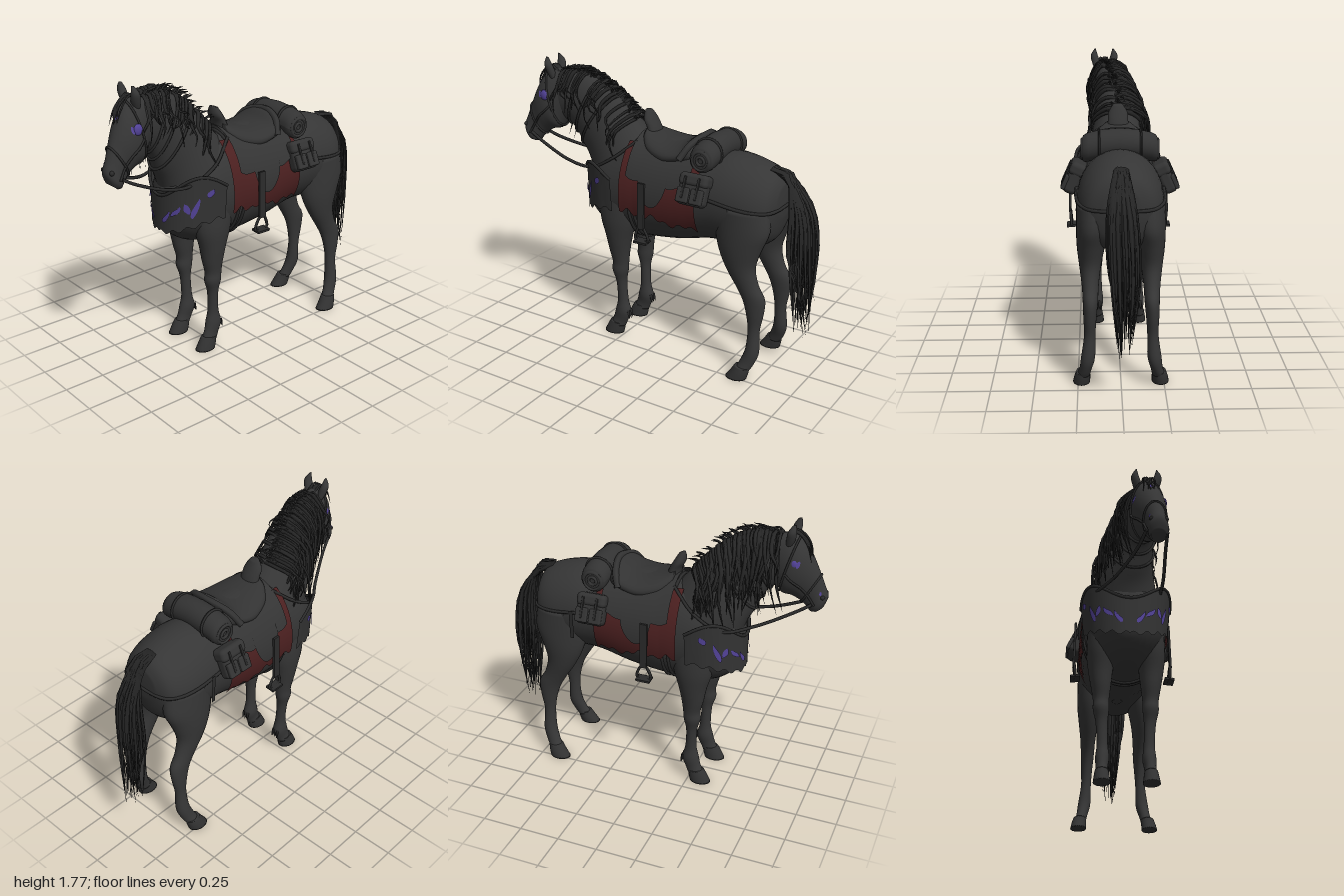
import * as THREE from 'three';
import { mergeGeometries } from 'three/addons/utils/BufferGeometryUtils.js';
import { RoundedBoxGeometry } from 'three/addons/geometries/RoundedBoxGeometry.js';

const V = (x, y, z) => new THREE.Vector3(x, y, z);
const mat = (name, color, side = THREE.FrontSide) => Object.assign(new THREE.MeshStandardMaterial({ color, side }), { name });

// Sections: [front/top z, y, back/bottom z, y, centre x, half width]
const TORSO = [[-.79, 1.2, -.79, 1.02, 0, .09], [-.75, 1.27, -.75, .87, 0, .185], [-.65, 1.315, -.65, .8, 0, .235],
  [-.5, 1.345, -.5, .79, 0, .248], [-.35, 1.335, -.35, .785, 0, .245], [-.15, 1.33, -.15, .735, 0, .25],
  [.05, 1.34, .05, .705, 0, .25], [.2, 1.36, .2, .695, 0, .24], [.35, 1.3, .35, .71, 0, .228],
  [.45, 1.23, .45, .755, 0, .19], [.52, 1.15, .52, .83, 0, .125], [.545, 1.08, .545, .92, 0, .05]];
const NECK = [[.1, 1.3, .5, .95, 0, .2], [.24, 1.45, .55, 1.12, 0, .16], [.36, 1.57, .6, 1.22, .02, .125],
  [.47, 1.65, .635, 1.3, .04, .105], [.58, 1.695, .68, 1.36, .06, .09], [.72, 1.69, .74, 1.38, .075, .08]];
const HEAD = [[.68, 1.69, .65, 1.45, .07, .06], [.79, 1.7, .71, 1.36, .08, .088], [.86, 1.64, .74, 1.32, .09, .098],
  [.905, 1.56, .79, 1.31, .1, .088], [.945, 1.47, .84, 1.28, .11, .066], [.975, 1.39, .875, 1.245, .12, .057],
  [1, 1.32, .9, 1.215, .125, .058], [.98, 1.255, .925, 1.215, .125, .042]];
const FORELEG = [[.42, .98, .12, .98, .14, .09], [.4, .82, .15, .82, .15, .085], [.365, .7, .185, .7, .15, .072],
  [.345, .6, .205, .6, .147, .058], [.325, .52, .215, .52, .145, .047], [.328, .46, .22, .46, .145, .047],
  [.305, .38, .235, .38, .14, .035], [.3, .25, .23, .25, .135, .032], [.315, .18, .21, .16, .135, .04],
  [.33, .12, .235, .09, .138, .034], [.35, .07, .25, .055, .14, .038]];
const HINDLEG = [[-.42, 1.08, -.76, 1.08, .15, .1], [-.43, .92, -.775, .95, .16, .093], [-.46, .8, -.735, .84, .17, .08],
  [-.515, .69, -.7, .72, .175, .062], [-.58, .59, -.725, .61, .175, .048], [-.625, .51, -.77, .53, .175, .043],
  [-.655, .42, -.765, .43, .178, .037], [-.67, .32, -.745, .32, .18, .032], [-.665, .2, -.75, .18, .19, .04],
  [-.64, .12, -.725, .1, .205, .035], [-.615, .07, -.7, .055, .217, .038]];
const FOREHOOF = [[.355, .085, .25, .075, .14, .038], [.375, .05, .255, .04, .14, .044], [.4, 0, .265, 0, .14, .05]];
const HINDHOOF = [[-.61, .085, -.705, .075, .22, .04], [-.59, .05, -.7, .04, .225, .046], [-.555, 0, -.69, 0, .23, .05]];
const SEAT = [[-.27, 1.39, -.27, 1.24, 0, .14], [-.23, 1.42, -.23, 1.24, 0, .18], [-.16, 1.375, -.16, 1.24, 0, .2],
  [-.06, 1.365, -.06, 1.22, 0, .2], [.06, 1.39, .06, 1.24, 0, .16], [.12, 1.42, .12, 1.28, 0, .1]];
const POMMEL = [[.16, 1.51, .12, 1.5, 0, .03], [.165, 1.46, .09, 1.45, 0, .06], [.14, 1.4, .06, 1.39, 0, .065], [.14, 1.3, .04, 1.3, 0, .1]];

// Smooth section at fractional index u
function section(rows, u) {
  const i = Math.min(Math.floor(u), rows.length - 2), t = u - i, r = k => rows[Math.max(0, Math.min(rows.length - 1, k))];
  return rows[0].map((_, k) => {
    const [a, b, c, d] = [r(i - 1)[k], r(i)[k], r(i + 1)[k], r(i + 2)[k]];
    return b + .5 * t * (c - a + t * (2 * a - 5 * b + 4 * c - d + t * (3 * (b - c) + d - a)));
  });
}
// Point on a section's outline, angle a from the top, pushed out by off
function outline([fz, fy, bz, by, x, w], a, off = 0) {
  const h = Math.hypot(fz - bz, fy - by) / 2, k = Math.cos(a) * (h + off) / h / 2;
  return V(x + Math.sin(a) * (w + off), (fy + by) / 2 + (fy - by) * k, (fz + bz) / 2 + (fz - bz) * k);
}
function loft(rows, mirror = 1, sub = 4, seg = 24) {
  const pos = [], idx = [], n = (rows.length - 1) * sub;
  for (let i = 0; i <= n; i++) for (let j = 0; j < seg; j++)
    pos.push(...outline(section(rows, i / sub), j / seg * 2 * Math.PI).toArray());
  for (const r of [rows[0], rows.at(-1)]) pos.push(r[4], (r[1] + r[3]) / 2, (r[0] + r[2]) / 2);
  const tri = (a, b, c) => mirror > 0 ? idx.push(a, b, c) : idx.push(a, c, b);
  for (let j = 0; j < seg; j++) {
    const k = (j + 1) % seg, e = n * seg;
    for (let i = 0; i < e; i += seg) { tri(i + j, i + seg + j, i + k); tri(i + k, i + seg + j, i + seg + k); }
    tri(e + seg, j, k); tri(e + seg + 1, e + k, e + j);
  }
  for (let i = 0; i < pos.length; i += 3) pos[i] *= mirror;
  return build(pos, idx);
}
function build(pos, idx) {
  const g = new THREE.BufferGeometry();
  g.setAttribute('position', new THREE.Float32BufferAttribute(pos, 3)); g.setIndex(idx); g.computeVertexNormals();
  return g;
}
// Open sheet from fn(u, v)
function sheet(nu, nv, fn) {
  const pos = [], idx = [];
  for (let i = 0; i <= nu; i++) for (let j = 0; j <= nv; j++) {
    pos.push(...fn(i / nu, j / nv).toArray());
    if (i && j) { const d = i * (nv + 1) + j, c = d - 1, b = d - nv - 1, a = b - 1; idx.push(a, c, b, b, c, d); }
  }
  return build(pos, idx);
}
const tube = (pts, r, closed = false, n = 32) => new THREE.TubeGeometry(new THREE.CatmullRomCurve3(pts, closed), n, r, 6, closed);
const ring = (rows, u, off, r) => tube(Array.from({ length: 20 }, (_, j) => outline(section(rows, u), j * Math.PI / 10, off)), r, true, 48);
// Tapered lock of hair
function strand(pts, r) {
  const n = 10, curve = new THREE.CatmullRomCurve3(pts), g = new THREE.TubeGeometry(curve, n, r, 4), p = g.attributes.position;
  for (let i = 0; i < p.count; i++) {
    const t = Math.floor(i / 5) / n, q = V().fromBufferAttribute(p, i).lerp(curve.getPointAt(t), .98 * t ** 2.5);
    p.setXYZ(i, q.x, q.y, q.z);
  }
  g.computeVertexNormals();
  return g;
}
// Point on the barrel at a given z
function barrel(z, a, off) {
  let i = 0;
  while (i < TORSO.length - 2 && TORSO[i + 1][0] < z) i++;
  return outline(section(TORSO, i + (z - TORSO[i][0]) / (TORSO[i + 1][0] - TORSO[i][0])), a, off);
}
const chest = (th, v, off = 0) => {
  const s = Math.sin(th), top = 1.05 + .135 * Math.sin(1.5 * th) ** 2, low = .82 + .09 * s * s + .012 * Math.sin(Math.abs(th) * 19);
  return V((.25 + off + .02 * v) * s, low + (top - low) * v, .265 + (.295 + off) * Math.cos(th));
};

export function createModel() {
  const M = {
    coat: mat('coat', 0x363636), hair: mat('hair', 0x262626), hoof: mat('hoof', 0x323232),
    leather: mat('leather', 0x333333), plate: mat('leather sheet', 0x343434, THREE.DoubleSide),
    strap: mat('strap', 0x2b2b2b), cloth: mat('red cloth', 0x4c2020, THREE.DoubleSide),
    glow: mat('violet', 0x54449a, THREE.DoubleSide),
  };
  const horse = new THREE.Group();
  horse.name = 'saddledHorse';
  const add = (name, geo, m) => {
    const mesh = new THREE.Mesh(geo, m);
    mesh.name = name; horse.add(mesh);
    return mesh;
  };
  let seed = 7;
  const rnd = (a = -1, b = 1) => a + (b - a) * ((seed = seed * 16807 % 2147483647) / 2147483647);

  // Body
  add('torso', loft(TORSO, 1, 4, 36), M.coat);
  add('neck', loft(NECK, 1, 5, 32), M.coat);
  add('head', loft(HEAD, 1, 5, 28), M.coat);
  add('groin', new THREE.SphereGeometry(.05, 14, 10).scale(.8, .7, 1.3).translate(0, .81, -.37), M.coat);
  for (const s of [1, -1]) {
    add('foreleg', loft(FORELEG, s), M.coat);
    add('hindLeg', loft(HINDLEG, s), M.coat);
    add('frontHoof', loft(FOREHOOF, s), M.hoof);
    add('hindHoof', loft(HINDHOOF, s), M.hoof);
    const ex = .078 + s * .055;
    add('ear', loft([[.81, 1.775, .79, 1.77, ex + s * .005, .004], [.815, 1.735, .765, 1.73, ex + s * .012, .023],
      [.81, 1.69, .755, 1.68, ex, .027], [.79, 1.64, .75, 1.64, ex - s * .01, .02]], 1, 4, 12), M.coat);
    const eye = add('eye', new THREE.SphereGeometry(1, 16, 10), M.glow);
    eye.scale.set(.014, .034, .028); eye.position.set(.094 + s * .086, 1.54, .805);
    const nostril = add('nostril', new THREE.SphereGeometry(.014, 10, 8), M.strap);
    nostril.position.set(.125 + s * .042, 1.325, .975);
    // Fetlock tufts
    add('fetlockHair', mergeGeometries([-1, 0, 1].map(k => strand([V(s * .135 + k * .015, .18, .22), V(s * .135 + k * .02, .12, .205)], .012))), M.hair);
  }

  // Mane and tail
  const mane = [], tail = [];
  for (let i = 0; i < 130; i++) {
    const u = rnd(.9, 5), row = section(NECK, u), s = i % 5 ? -1 : 1, len = s < 0 ? rnd(.14, .4) : rnd(.03, .18);
    const puff = s < 0 ? rnd(.015, .07) : .02, side = outline(row, s * rnd(.9, 1.3), puff);
    const end = side.clone().add(V(s * rnd(-.05, .02), -len, rnd(-.09, .05)));
    const mid = side.clone().lerp(end, .5).add(V(s * .02, 0, rnd(-.03, .03)));
    mane.push(strand([outline(row, 0, -.01), outline(row, s * .35, .01 + puff / 3), side, mid, end], rnd(.008, .015)));
    if (i < 36) {
      const p = outline(row, rnd(-.2, .2), -.01);
      mane.push(strand([p, p.clone().add(V(rnd() * .02, .03, -.02)), p.clone().add(V(rnd() * .03, rnd(.02, .045), -.07))], .008));
    }
  }
  for (let i = 0; i < 9; i++) {
    const x = .078 + rnd() * .04;
    mane.push(strand([V(x, 1.68, .74), V(x, 1.715, .8), V(x + rnd() * .02, 1.65, .87), V(x + rnd() * .03, rnd(1.5, 1.6), .905)], .008));
  }
  for (let i = 0; i < 64; i++) {
    const x = rnd(), d = rnd();
    tail.push(strand([V(x * .025, 1.29, -.71), V(x * .04, 1.245 + d * .02, -.82), V(x * .075, 1.08, -.9 + d * .04),
      V(x * .085 - .01, .75, -.92 + d * .06), V(x * .045 - .01, rnd(.26, .66), -.93 + rnd() * .06)], rnd(.01, .018)));
  }
  add('mane', mergeGeometries(mane), M.hair);
  add('tail', mergeGeometries(tail), M.hair);

  // Bridle, reins and neck bands
  const tack = [ring(HEAD, 4.2, .003, .007), ring(HEAD, 1.4, .004, .007), ring(NECK, 2.1, .005, .008), ring(NECK, 3, .005, .008), ring(NECK, 3.9, .005, .008)];
  for (const s of [1, -1]) {
    tack.push(tube([1.4, 2.3, 3.3, 4.2, 5.6].map(u => outline(section(HEAD, u), s * 1.75, .004)), .007));
    tack.push(tube([V(.12 + s * .06, 1.28, .92), V(.1 + s * .08, 1.225, .82), V(.05 + s * .14, 1.15, .62),
      V(s * .19, 1.135, .46), V(s * .2, 1.22, .29), V(s * .13, 1.345, .14)], .01));
  }
  add('bridleAndReins', mergeGeometries(tack), M.strap);

  // Breast collar with a folded rim and violet flames
  add('breastCollar', sheet(72, 8, (u, v) => chest((u - .5) * 3.2, v)), M.plate);
  add('collarRim', tube(Array.from({ length: 25 }, (_, i) => chest((i / 24 - .5) * 3.2, 1)), .01, false, 60), M.strap);
  for (const s of [1, -1]) for (const [th, v, w, h, lean] of [[.26, .42, .12, .26, .17], [.5, .47, .14, .2, .2], [.74, .43, .1, .26, -.1], [.93, .4, .11, .36, .16], [1.24, .68, .11, .2, .1]])
    add('flameMark', sheet(4, 6, (a, b) => chest(s * (th + (a - .5) * w * Math.sin(.3 + b * 2.84) * 1.3 + lean * (b - .5)), v + h * (b - .5), .007)), M.glow);
  for (const [u, a, w] of [[2.5, 0, .3], [2.2, 1.1, .3], [2.2, -1.1, .3], [5.2, -.9, .25]])
    add('faceMark', sheet(3, 3, (p, q) => outline(section(HEAD, u + (q - .5) * .3), a + (p - .5) * w * Math.sin(.3 + q * 2.5), .004)), M.glow);

  // Torn saddle cloth
  const torn = z => 1.88 + .9 * Math.max(0, -z) + .04 * Math.sin(z * 31) + .045 * Math.sin(z * 73 + 1);
  for (const s of [1, -1]) add('saddleCloth', sheet(60, 16, (u, v) => {
    const z = .2 - .53 * u;
    return barrel(z, s * (.5 + (torn(z) - .5) * v), .016 + .012 * v * Math.max(0, 1 - u * 5));
  }), M.cloth);

  // Saddle
  add('saddleSkirt', sheet(28, 40, (u, v) => {
    const edge = 1.2 + .06 * Math.sin(u * Math.PI) + .02 * Math.sin(u * 19);
    return barrel(.145 - .43 * u, edge * (2 * v - 1), .036);
  }), M.plate);
  add('saddleSeat', loft(SEAT, 1, 5, 28), M.leather);
  add('pommel', loft(POMMEL, 1, 4, 16), M.leather);
  add('cantle', tube([V(-.2, 1.3, -.19), V(-.14, 1.38, -.23), V(0, 1.415, -.26), V(.14, 1.38, -.23), V(.2, 1.3, -.19)], .022), M.leather);
  for (const s of [1, -1]) {
    add('saddleFlap', sheet(20, 12, (u, v) => barrel(.05 - .2 * u, s * (.9 + v * (.3 + .44 * Math.sin(u * Math.PI) ** .6)), .042)), M.plate);
    const strap = add('stirrupStrap', new THREE.BoxGeometry(.014, .29, .045), M.strap);
    strap.position.set(s * .297, 1, .012); strap.rotation.z = s * .03;
    const iron = add('stirrup', mergeGeometries([
      tube([V(0, .1, .012), V(0, .1, -.012), V(0, .015, -.045), V(0, .005, 0), V(0, .015, .045)], .009, true),
      new THREE.BoxGeometry(.06, .014, .09).translate(0, .006, 0)]), M.strap);
    iron.position.set(s * .29, .765, .012); iron.rotation.z = s * -.08;
    // Saddlebags
    const bag = new THREE.Group();
    bag.name = 'saddlebag';
    const box = (name, w, h, d, x, y, z, m) => {
      const b = new THREE.Mesh(new RoundedBoxGeometry(w, h, d, 3, Math.min(w, h, d) * .35), m);
      b.name = name; b.position.set(x, y, z); bag.add(b);
    };
    box('bagBody', .085, .18, .18, 0, 0, 0, M.leather);
    box('bagLid', .1, .08, .19, 0, .06, 0, M.leather);
    for (const k of [-1, 1]) {
      box('bagPocket', .03, .09, .08, s * .04, -.035, k * .045, M.leather);
      box('bagStrap', .012, .13, .016, s * .052, .01, k * .045, M.strap);
    }
    bag.position.set(s * .265, 1.16, -.335); bag.rotation.z = s * .42;
    horse.add(bag);
    // Hanging strap behind the bag
    add('hangingStrap', sheet(1, 4, (u, v) => V(s * (.262 - .01 * v), 1.12 - .19 * v, -.47 - .025 * u)), M.strap);
  }

  // Bedroll, drooping over the back, with ties
  const bedroll = [new THREE.LatheGeometry([[0, -.215], [.055, -.222], [.076, -.21], [.084, -.18], [.086, -.1], [.086, 0], [.086, .1],
    [.084, .18], [.076, .21], [.055, .222], [0, .215]].map(([r, y]) => new THREE.Vector2(r, y)), 28).rotateZ(Math.PI / 2)];
  for (const x of [-.218, .218]) for (const r of [.055, .025]) bedroll.push(new THREE.TorusGeometry(r, .01, 6, 24).rotateY(Math.PI / 2).translate(x, 0, 0));
  const ties = [-.12, .12].map(x => new THREE.TorusGeometry(.087, .008, 6, 28).rotateY(Math.PI / 2).translate(x, 0, 0));
  for (const [name, parts, m] of [['bedroll', bedroll, M.leather], ['bedrollTies', ties, M.strap]]) {
    const g = mergeGeometries(parts), p = g.attributes.position;
    for (let i = 0; i < p.count; i++) p.setY(i, p.getY(i) - .7 * p.getX(i) ** 2);
    g.computeVertexNormals();
    add(name, g.translate(0, 1.362, -.348), m);
  }

  // Girth and breeching
  const girth = z => Array.from({ length: 24 }, (_, j) => barrel(z, j / 12 * Math.PI, .004));
  add('girth', mergeGeometries([tube(girth(.1), .01, true, 60), tube(girth(.14), .01, true, 60)]), M.strap);
  const half = [[.245, 1.13, -.3], [.253, 1.11, -.45], [.247, 1.09, -.6], [.22, 1.08, -.7], [.16, 1.075, -.77]];
  add('breeching', tube([...half.map(([x, y, z]) => V(x, y, z)), V(0, 1.075, -.795), ...half.map(([x, y, z]) => V(-x, y, z)).reverse()], .01, false, 60), M.strap);
  return horse;
}
